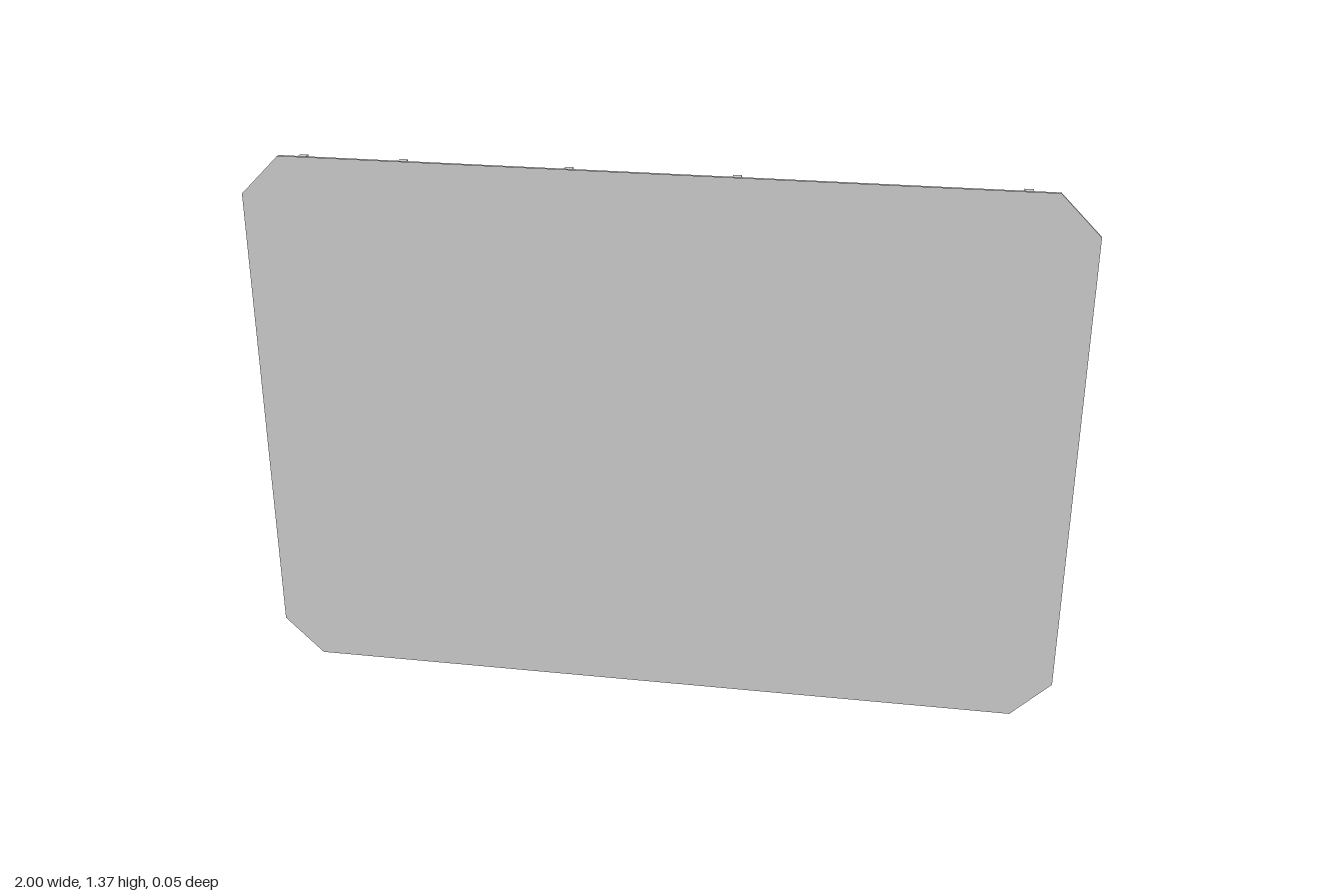
import * as THREE from 'three';

const W = 2, H = 1.365, CUT = 0.097;      // panel size and corner cut
const FRONT = 0.025, BACK = 0.018;        // z of the two panel skins
const RIB_X = [-0.855, -0.61, -0.213, 0.18, 0.835];

// Rectangle with four cut corners
function panelShape() {
  const x = W / 2;
  return new THREE.Shape([
    [-x + CUT, 0], [x - CUT, 0], [x, CUT], [x, H - CUT],
    [x - CUT, H], [-x + CUT, H], [-x, H - CUT], [-x, CUT],
  ].map(([px, py]) => new THREE.Vector2(px, py)));
}

export function createModel() {
  const model = new THREE.Group();
  model.name = 'ribbedPanel';
  const skin = new THREE.MeshStandardMaterial({ color: 0xcccccc, side: THREE.DoubleSide });
  const solid = new THREE.MeshStandardMaterial({ color: 0xcccccc });

  // Two thin skins, front and back; the shape is symmetric, so the back is turned around
  const sheet = new THREE.ShapeGeometry(panelShape());
  const front = new THREE.Mesh(sheet, skin);
  front.name = 'panelFront';
  front.position.z = FRONT;
  const back = new THREE.Mesh(sheet, skin);
  back.name = 'panelBack';
  back.position.z = BACK;
  back.rotation.y = Math.PI;
  model.add(front, back);

  // Vertical stiffening ribs on the back
  const ribGeometry = new THREE.BoxGeometry(0.02, 1.348, 0.043);
  RIB_X.forEach((x, i) => {
    const rib = new THREE.Mesh(ribGeometry, solid);
    rib.name = `rib${i + 1}`;
    rib.position.set(x, H / 2, -0.0035);
    model.add(rib);
  });
  return model;
}
